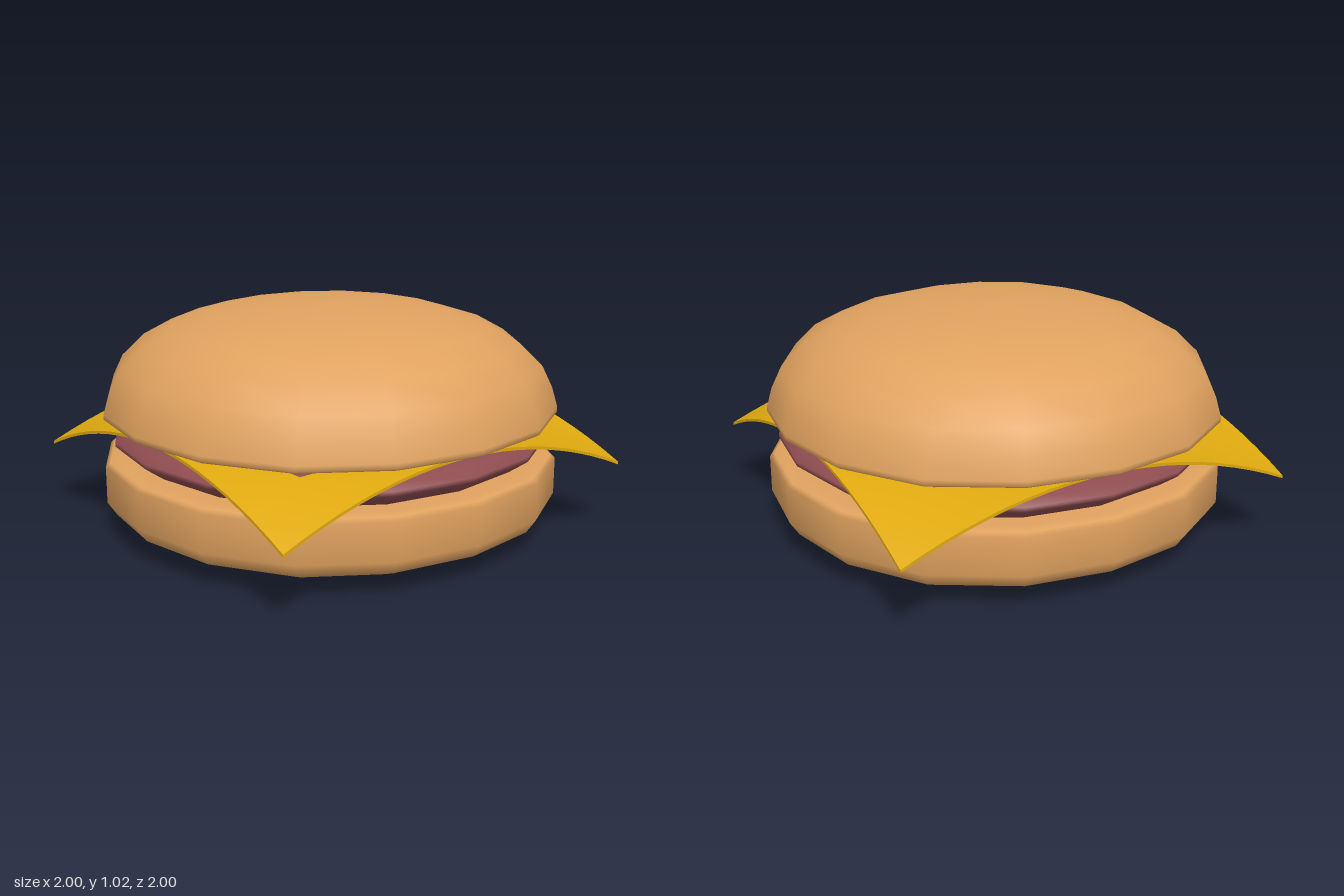
import * as THREE from 'three';

const material = (name, color) => {
  const m = new THREE.MeshStandardMaterial({ color });
  m.name = name;
  return m;
};

// Sixteen-sided turned shape, slightly squared so its diagonals bulge
function turned(name, profile, mat) {
  const geo = new THREE.LatheGeometry(profile.map(([r, y]) => new THREE.Vector2(r, y)), 16);
  const p = geo.attributes.position;
  for (let i = 0; i < p.count; i++) {
    const angle = Math.atan2(p.getX(i), p.getZ(i));
    const k = 1 + 0.025 * Math.sin(2 * angle) ** 2;
    p.setX(i, p.getX(i) * k);
    p.setZ(i, p.getZ(i) * k);
  }
  const mesh = new THREE.Mesh(geo, mat);
  mesh.name = name;
  return mesh;
}

// Thin square slice whose corners droop
function cheeseSlice(mat) {
  const half = 0.923, thick = 0.013;
  const geo = new THREE.BoxGeometry(half * 2, thick, half * 2, 20, 1, 20);
  const p = geo.attributes.position;
  for (let i = 0; i < p.count; i++) {
    const u = p.getX(i) / half, v = p.getZ(i) / half;
    p.setY(i, p.getY(i) + 0.526 - 0.205 * u * u * v * v);
  }
  geo.computeVertexNormals();
  const mesh = new THREE.Mesh(geo, mat);
  mesh.name = 'cheeseSlice';
  return mesh;
}

export function createModel() {
  const bun = material('toasted bun', 0xe0a25f);
  const meat = material('meat', 0x8e4c50);
  const cheese = material('cheese', 0xdfa90f);

  const model = new THREE.Group();
  model.name = 'cheeseburger';
  model.add(
    turned('bottomBun', [
      [0, 0.005], [0.32, 0.012], [0.65, 0.033], [0.86, 0.066], [0.96, 0.11], [1, 0.17],
      [1, 0.335], [0.98, 0.352], [0.93, 0.36], [0, 0.365],
    ], bun),
    turned('patty', [
      [0, 0.355], [0.87, 0.365], [0.92, 0.4], [0.955, 0.425],
      [0.955, 0.445], [0.91, 0.475], [0.83, 0.5], [0, 0.518],
    ], meat),
    cheeseSlice(cheese),
    turned('topBun', [
      [0, 0.531], [0.93, 0.535], [0.985, 0.54], [1, 0.55], [1, 0.572], [0.975, 0.66],
      [0.93, 0.755], [0.83, 0.855], [0.7, 0.928], [0.53, 0.98], [0.28, 1.013], [0, 1.025],
    ], bun),
  );
  return model;
}
